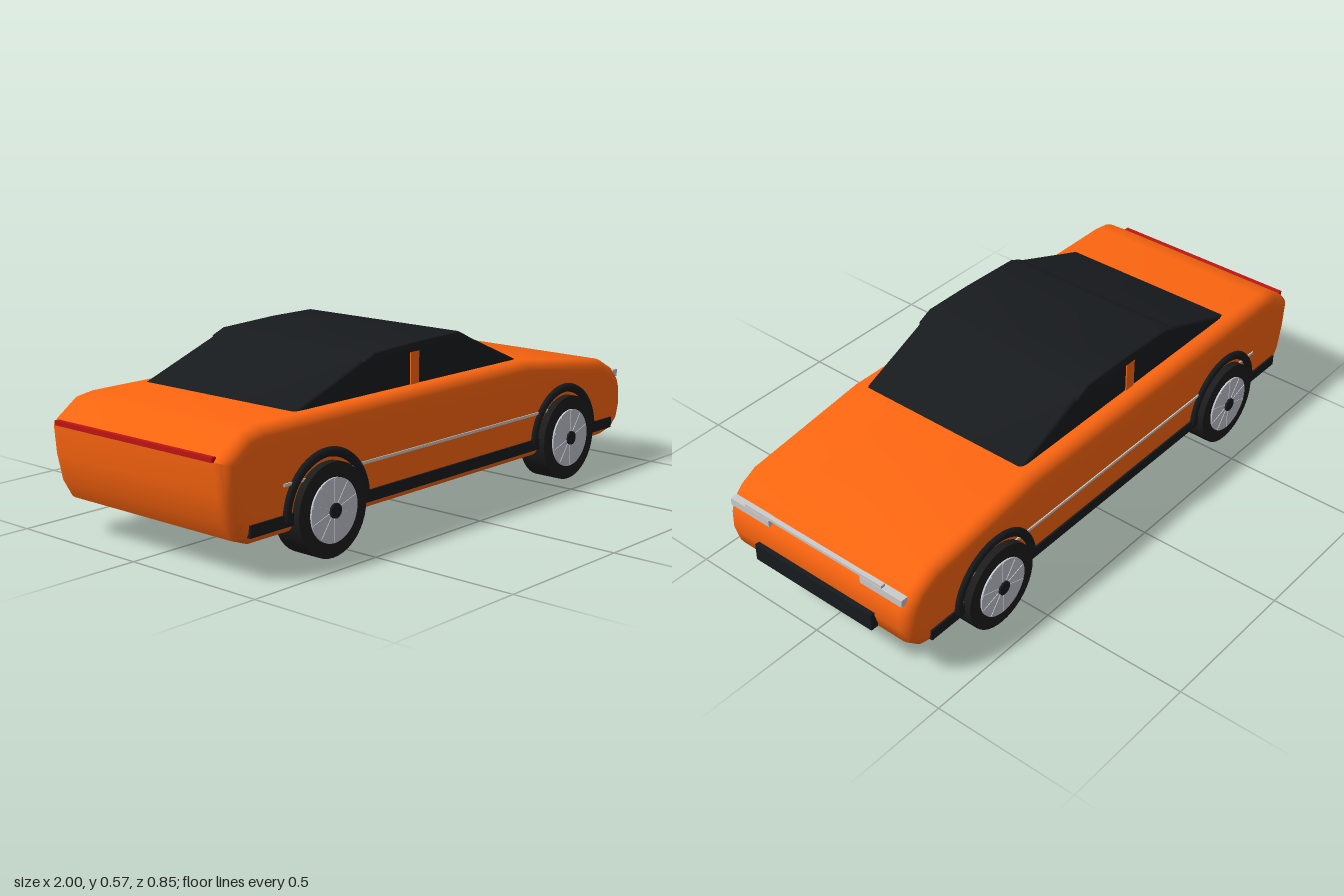
import * as THREE from 'three';
import { toCreasedNormals } from 'three/addons/utils/BufferGeometryUtils.js';

const mat = (color) => new THREE.MeshStandardMaterial({ color });

export function createModel() {
  const car = new THREE.Group();
  car.name = 'car';
  const orange = mat(0xff6610), black = mat(0x181b1e), tyreBlack = mat(0x1c1c1c);
  const silver = mat(0xcccccc), rimGrey = mat(0xc4c6d0), red = mat(0xc01515);

  function add(parent, name, geometry, material, x = 0, y = 0, z = 0) {
    const mesh = new THREE.Mesh(geometry, material);
    mesh.name = name;
    mesh.position.set(x, y, z);
    parent.add(mesh);
    return mesh;
  }

  // Box given by its limits on each axis
  function box(name, material, x0, x1, y0, y1, z0, z1) {
    return add(car, name, new THREE.BoxGeometry(x1 - x0, y1 - y0, z1 - z0), material,
      (x0 + x1) / 2, (y0 + y1) / 2, (z0 + z1) / 2);
  }

  // Side profile extruded across the car with rounded edges
  function profile(points, halfWidth, bevel, crease) {
    const shape = new THREE.Shape(points.map(([x, y]) => new THREE.Vector2(x, y)));
    const geometry = new THREE.ExtrudeGeometry(shape, {
      depth: 2 * (halfWidth - bevel), bevelThickness: bevel, bevelSize: bevel,
      bevelOffset: -bevel, bevelSegments: 5, curveSegments: 8,
    });
    geometry.translate(0, 0, bevel - halfWidth);
    return toCreasedNormals(geometry, crease);
  }

  // Body shell
  add(car, 'body', profile([
    [-0.88, 0.097], [0.87, 0.097], [0.93, 0.11], [0.968, 0.145], [0.984, 0.2],
    [0.982, 0.26], [0.968, 0.3], [0.93, 0.34], [0.865, 0.374], [0.41, 0.437],
    [-0.84, 0.437], [-0.9, 0.428], [-0.975, 0.375], [-0.993, 0.355],
    [-0.985, 0.26], [-0.965, 0.17], [-0.935, 0.118],
  ], 0.384, 0.045, 0.6), orange);

  // Cabin glass, roof and pillars
  add(car, 'cabin', profile([
    [-0.668, 0.42], [0.415, 0.42], [0.415, 0.436], [0.13, 0.56], [0.09, 0.568],
    [-0.29, 0.563], [-0.33, 0.555], [-0.668, 0.432],
  ], 0.325, 0.012, 0.5), black);
  add(car, 'roof', profile([
    [-0.36, 0.54], [0.155, 0.54], [0.15, 0.55], [0.1, 0.573],
    [-0.08, 0.573], [-0.31, 0.564], [-0.35, 0.548],
  ], 0.332, 0.01, 0.5), black);

  // Front and rear fittings
  box('grille', black, 0.972, 1, 0.15, 0.21, -0.243, 0.243);
  box('noseBar', silver, 0.972, 0.988, 0.331, 0.341, -0.283, 0.283);
  box('tailLight', red, -1, -0.984, 0.355, 0.37, -0.34, 0.34);

  for (const s of [1, -1]) {
    const side = s > 0 ? 'left' : 'right';
    // Names follow the +z / -z sides of the car, mirrored
    const pair = (name, m, x0, x1, y0, y1, z0, z1) =>
      box(name, m, x0, x1, y0, y1, Math.min(s * z0, s * z1), Math.max(s * z0, s * z1)).name = name + side;
    pair('pillar', orange, -0.14, -0.1, 0.43, 0.54, 0.3, 0.329);
    pair('headlight', silver, 0.956, 0.982, 0.296, 0.321, 0.19, 0.355);
    pair('sill', black, -0.905, 0.9, 0.127, 0.164, 0.36, 0.39);
    pair('trimStrip', silver, -0.765, 0.73, 0.247, 0.256, 0.375, 0.388);

    for (const x of [-0.585, 0.61]) {
      // Wheel arch
      add(car, 'wheelArch', new THREE.TorusGeometry(0.17, 0.0155, 10, 32, Math.PI),
        black, x, 0.145, s * 0.383);

      // Wheel, built with its outer face towards +z
      const wheel = new THREE.Group();
      wheel.name = 'wheel';
      wheel.position.set(x, 0.145, s * 0.36);
      if (s < 0) wheel.rotation.y = Math.PI;
      car.add(wheel);
      const disc = (name, r, depth, material, z) => add(wheel, name,
        new THREE.CylinderGeometry(r, r, depth, 40).rotateX(Math.PI / 2), material, 0, 0, z);
      disc('tyre', 0.145, 0.1, tyreBlack, 0);
      disc('rim', 0.099, 0.112, rimGrey, 0);
      disc('hub', 0.023, 0.126, black, 0);
      for (let i = 0; i < 10; i++) {
        const spoke = new THREE.BoxGeometry(0.006, 0.072, 0.116).translate(0, 0.06, 0);
        add(wheel, 'spoke', spoke, rimGrey).rotation.z = (i * Math.PI) / 5;
      }
    }
  }
  return car;
}
